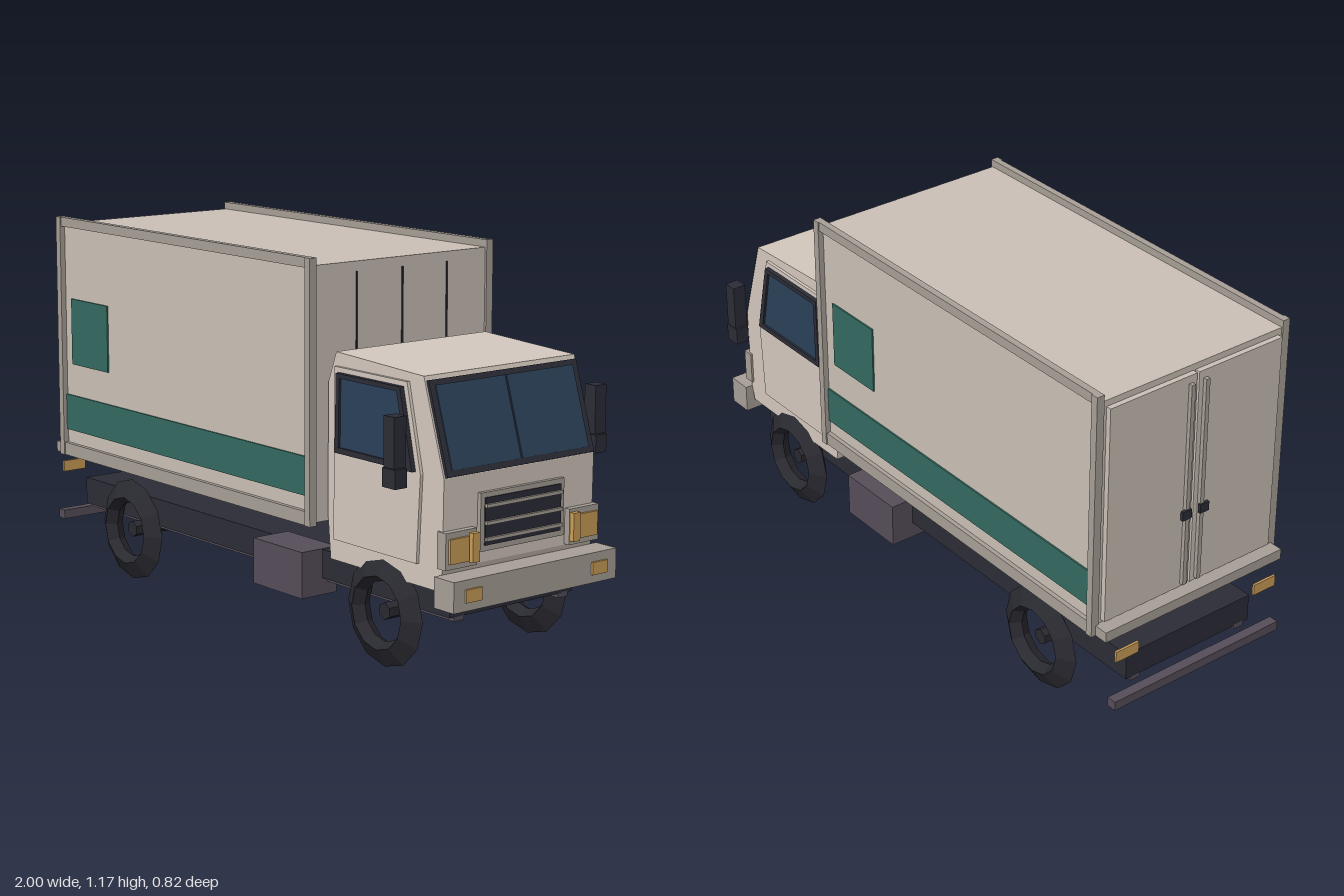
import * as THREE from 'three';

const mat = (name, color) => {
  const m = new THREE.MeshStandardMaterial({ color });
  m.name = name;
  return m;
};

export function createModel() {
  const M = {
    body: mat('cargo cream', 0xcbc0b6),
    cab: mat('cab cream', 0xd4c8be),
    trim: mat('grey beige trim', 0xa8a097),
    dark: mat('dark chassis', 0x2c2c37),
    tyre: mat('tyre black', 0x292930),
    glass: mat('blue glass', 0x2b4159),
    green: mat('green paint', 0x33695f),
    amber: mat('amber lamp', 0xcb9d57),
    plum: mat('plum metal', 0x564e5a),
  };
  M.tyre.flatShading = true;
  const truck = new THREE.Group();
  truck.name = 'boxTruck';

  const add = (name, geo, m, parent = truck) => {
    const mesh = new THREE.Mesh(geo, m);
    mesh.name = name;
    parent.add(mesh);
    return mesh;
  };
  // Box given by its limits on each axis
  const box = (name, m, x0, x1, y0, y1, z0, z1, parent) => {
    const b = add(name, new THREE.BoxGeometry(x1 - x0, y1 - y0, Math.abs(z1 - z0)), m, parent);
    b.position.set((x0 + x1) / 2, (y0 + y1) / 2, (z0 + z1) / 2);
    return b;
  };
  // Same box on both sides of the truck
  const pair = (name, m, x0, x1, y0, y1, z0, z1) => {
    for (const s of [1, -1]) box(name, m, x0, x1, y0, y1, s * z0, s * z1);
  };
  // Side outline extruded from z0 to z1
  const slab = (name, m, pts, z0, z1, hole) => {
    const shape = new THREE.Shape(pts.map(p => new THREE.Vector2(...p)));
    if (hole) shape.holes.push(new THREE.Path(hole.map(p => new THREE.Vector2(...p))));
    const geo = new THREE.ExtrudeGeometry(shape, { depth: z1 - z0, bevelEnabled: false });
    return add(name, geo.translate(0, 0, z0), m);
  };
  const slabPair = (name, m, pts, z0, z1, hole) => {
    slab(name, m, pts, z0, z1, hole);
    slab(name, m, pts, -z1, -z0, hole);
  };

  // Cargo box with its frame
  box('cargoBox', M.body, -0.925, 0.397, 0.385, 1.145, -0.338, 0.338);
  pair('topRail', M.trim, -0.93, 0.402, 1.138, 1.168, 0.33, 0.352);
  pair('bottomRail', M.trim, -0.93, 0.402, 0.376, 0.418, 0.33, 0.352);
  for (const x of [-0.93, 0.38]) pair('cornerPost', M.trim, x, x + 0.024, 0.376, 1.168, 0.33, 0.356);
  pair('sideStripe', M.green, -0.906, 0.379, 0.462, 0.58, 0.337, 0.343);
  box('sidePanelSquare', M.green, -0.868, -0.66, 0.685, 0.902, 0.337, 0.343);
  box('sidePanelSquare', M.green, 0.13, 0.338, 0.685, 0.902, -0.343, -0.337);
  for (const z of [-0.175, 0, 0.175])
    box('frontWallSeam', M.dark, 0.395, 0.4, 0.42, 1.115, z - 0.003, z + 0.003);

  // Rear doors, lock bars and sill
  pair('rearDoor', M.body, -0.942, -0.92, 0.42, 1.125, 0.004, 0.318);
  pair('lockBar', M.trim, -0.955, -0.94, 0.43, 1.1, 0.02, 0.034);
  pair('lockHandle', M.dark, -0.96, -0.95, 0.66, 0.69, 0.016, 0.05);
  box('rearSill', M.trim, -0.975, -0.925, 0.376, 0.41, -0.34, 0.34);
  box('rearBumper', M.plum, -1, -0.968, 0.14, 0.17, -0.32, 0.32);
  pair('rearLamp', M.amber, -0.988, -0.98, 0.3, 0.336, 0.225, 0.31);

  // Chassis
  box('chassis', M.dark, -0.953, 0.89, 0.187, 0.275, -0.24, 0.24);
  pair('chassisRail', M.plum, -0.953, 0.89, 0.174, 0.19, 0.185, 0.222);
  pair('sideTank', M.plum, 0.08, 0.318, 0.135, 0.277, 0.185, 0.318);

  // Wheels: open faceted rings on plain axles
  const ring = [[0.09, 0], [0.11, -0.034], [0.166, 0], [0.11, 0.034], [0.09, 0]];
  const tyreGeo = new THREE.LatheGeometry(ring.map(p => new THREE.Vector2(...p)), 12).rotateX(Math.PI / 2);
  const axleGeo = new THREE.CylinderGeometry(0.026, 0.026, 0.57, 6).rotateX(Math.PI / 2);
  for (const x of [-0.617, 0.66]) {
    add('axle', axleGeo, M.tyre).position.set(x, 0.166, 0);
    for (const s of [1, -1]) add('tyre', tyreGeo, M.tyre).position.set(x, 0.166, s * 0.283);
  }

  // Cab shell
  slab('cabShell', M.cab, [[0.42, 0.275], [0.9, 0.275], [0.915, 0.34], [0.918, 0.6],
    [0.83, 0.878], [0.445, 0.896], [0.408, 0.8], [0.408, 0.4]], -0.29, 0.29);
  slabPair('cabDoor', M.cab, [[0.445, 0.34], [0.815, 0.34], [0.83, 0.6], [0.77, 0.855], [0.45, 0.855]], 0.288, 0.3);

  // Side windows
  const pane = [[0.485, 0.622], [0.786, 0.622], [0.742, 0.826], [0.488, 0.826]];
  slabPair('sideWindowFrame', M.dark, [[0.468, 0.605], [0.81, 0.605], [0.756, 0.84], [0.473, 0.84]], 0.298, 0.315, pane);
  slabPair('sideWindow', M.glass, pane, 0.3, 0.308);

  // Windshield, built flat and laid on the slope
  const shield = new THREE.Group();
  shield.name = 'windshield';
  shield.position.set(0.878, 0.735, 0);
  shield.rotation.z = Math.atan2(0.088, 0.278);
  truck.add(shield);
  box('windshieldFrame', M.dark, -0.005, 0.007, -0.139, 0.137, -0.284, 0.284, shield);
  for (const s of [1, -1])
    box('windshieldPane', M.glass, 0, 0.01, -0.121, 0.121, s * 0.003, s * 0.264, shield);

  // Mirrors
  pair('mirror', M.dark, 0.8, 0.845, 0.632, 0.778, 0.366, 0.41);
  pair('lowerMirror', M.dark, 0.795, 0.85, 0.575, 0.63, 0.366, 0.41);

  // Grille
  box('grilleFrame', M.trim, 0.9, 0.93, 0.375, 0.545, -0.162, 0.162);
  box('grille', M.dark, 0.92, 0.934, 0.392, 0.53, -0.147, 0.147);
  for (const y of [0.41, 0.457, 0.507])
    box('grilleSlat', M.trim, 0.93, 0.942, y - 0.005, y + 0.005, -0.147, 0.147);

  // Headlamps, turn lamps and front bumper
  pair('headlampSurround', M.trim, 0.9, 0.936, 0.343, 0.45, 0.18, 0.297);
  pair('headlamp', M.amber, 0.93, 0.944, 0.36, 0.432, 0.215, 0.286);
  pair('turnLamp', M.amber, 0.93, 0.952, 0.355, 0.44, 0.182, 0.209);
  box('frontBumper', M.trim, 0.91, 0.993, 0.235, 0.325, -0.316, 0.316);
  pair('bumperLamp', M.amber, 0.985, 1, 0.26, 0.298, 0.215, 0.275);

  return truck;
}
